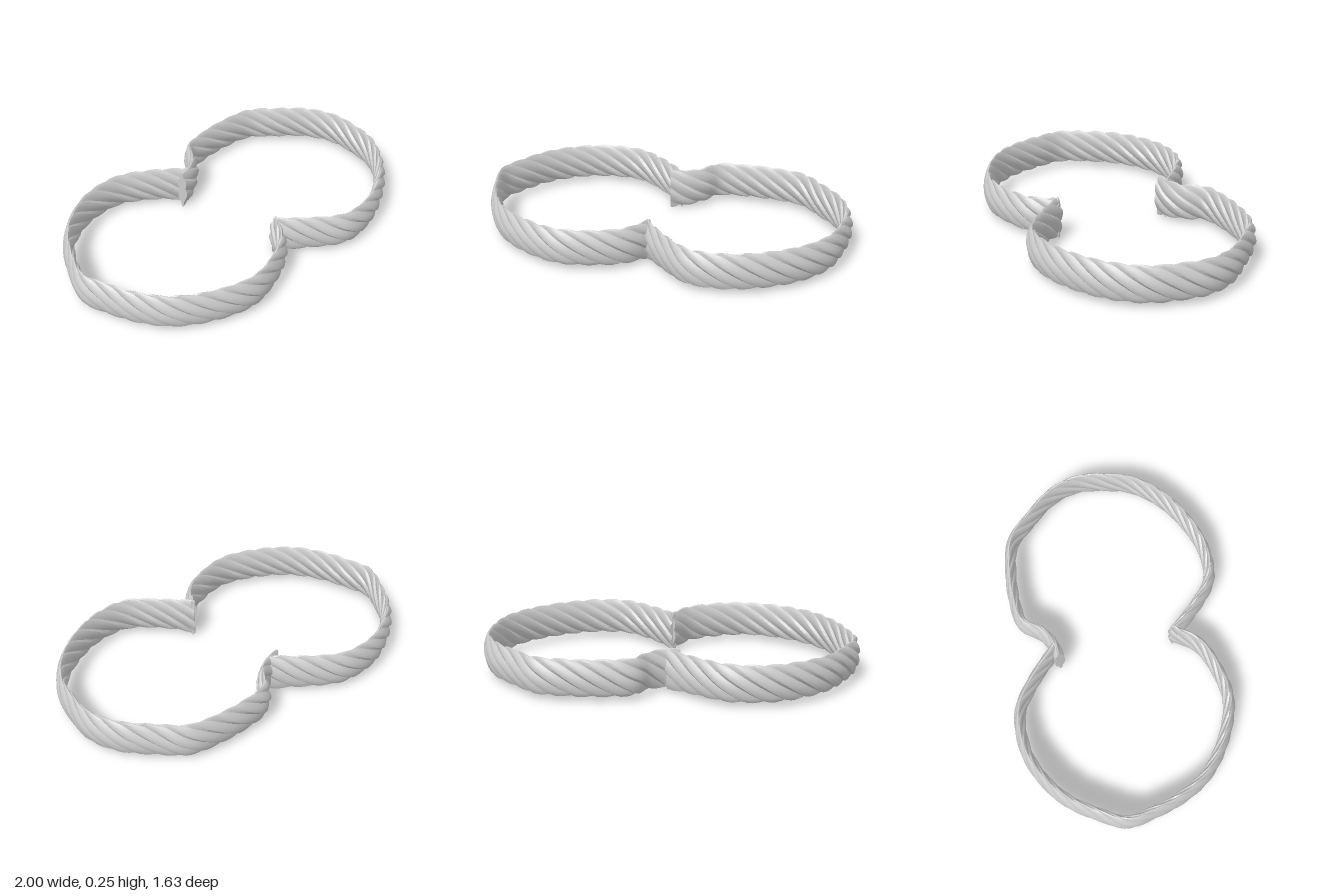
import * as THREE from 'three';
import { toCreasedNormals } from 'three/addons/utils/BufferGeometryUtils.js';

const STRANDS = 6, PER_STRAND = 5, RING = STRANDS * PER_STRAND;
const HALF_HEIGHT = 0.108, HALF_THICK = 0.034, CENTRE_Y = 0.149, PITCH = 0.7;

// Plan outlines (x, z) of the two loops, running clockwise seen from above
const rightPath = [
  [-0.23, -0.24], [-0.16, -0.31], [-0.12, -0.4], [-0.11, -0.52], [0, -0.62], [0.15, -0.71], [0.34, -0.78],
  [0.5, -0.75], [0.7, -0.69], [0.84, -0.58], [0.92, -0.42], [0.96, -0.28], [0.94, -0.08],
  [0.85, 0.12], [0.72, 0.28], [0.55, 0.375], [0.35, 0.355], [0.15, 0.3],
];
const leftPath = [
  [0.165, 0.29], [0.15, 0.46], [0.04, 0.62], [-0.1, 0.735], [-0.33, 0.785], [-0.55, 0.765],
  [-0.72, 0.68], [-0.85, 0.57], [-0.95, 0.46], [-0.97, 0.28], [-0.965, 0.13], [-0.92, -0.02],
  [-0.8, -0.2], [-0.6, -0.325], [-0.42, -0.33], [-0.18, -0.29],
];

// Flattened bundle of twisted strands swept along an outline
function ropeGeometry(points) {
  const curve = new THREE.CatmullRomCurve3(points.map(([x, z]) => new THREE.Vector3(x, 0, z)), false, 'centripetal');
  const length = curve.getLength();
  const steps = Math.round(length / 0.03);
  const up = new THREE.Vector3(0, 1, 0);
  const pos = [], index = [];

  for (let i = 0; i <= steps; i++) {
    const u = i / steps;
    const p = curve.getPointAt(u);
    const outward = new THREE.Vector3().crossVectors(up, curve.getTangentAt(u)).normalize();
    const endDistance = Math.min(u, 1 - u) * length;
    const sag = 0.032 * Math.exp(-endDistance / 0.12); // frayed ends hang a little lower
    for (let j = 0; j < RING; j++) {
      const theta = (j / RING + (u * length) / PITCH) * Math.PI * 2;
      // Each strand bulges steeply on one side and tapers on the other
      const bulge = Math.sin(Math.PI * Math.pow((j % PER_STRAND) / PER_STRAND, 0.65));
      const out = HALF_THICK * Math.cos(theta) * (0.6 + 0.4 * bulge);
      const rise = Math.asin(0.96 * Math.sin(theta)) / Math.asin(0.96);
      const y = HALF_HEIGHT * rise * (0.88 + 0.12 * bulge);
      pos.push(p.x + outward.x * out, CENTRE_Y + y - (y < 0 ? sag * -rise : 0), p.z + outward.z * out);
    }
  }

  for (let i = 0; i < steps; i++) {
    for (let j = 0; j < RING; j++) {
      const k = (j + 1) % RING;
      const a = i * RING + j, b = i * RING + k, c = a + RING, d = b + RING;
      index.push(a, b, c, b, d, c);
    }
  }

  // End caps
  for (const [u, row] of [[0, 0], [1, steps]]) {
    const p = curve.getPointAt(u);
    const centre = pos.length / 3;
    pos.push(p.x, CENTRE_Y, p.z);
    for (let j = 0; j < RING; j++) {
      const a = row * RING + j, b = row * RING + ((j + 1) % RING);
      if (u === 0) index.push(centre, b, a);
      else index.push(centre, a, b);
    }
  }

  const geometry = new THREE.BufferGeometry();
  geometry.setAttribute('position', new THREE.Float32BufferAttribute(pos, 3));
  geometry.setIndex(index);
  return toCreasedNormals(geometry, 0.55);
}

export function createModel() {
  const group = new THREE.Group();
  group.name = 'twistedRopeBand';
  const material = new THREE.MeshStandardMaterial({ color: 0xcccccc, side: THREE.DoubleSide });
  for (const [name, points] of [['rightRopeLoop', rightPath], ['leftRopeLoop', leftPath]]) {
    const mesh = new THREE.Mesh(ropeGeometry(points), material);
    mesh.name = name;
    group.add(mesh);
  }
  // Rest the lowest strand on the ground
  const box = new THREE.Box3().setFromObject(group);
  group.children.forEach((mesh) => mesh.geometry.translate(0, -box.min.y, 0));
  return group;
}
